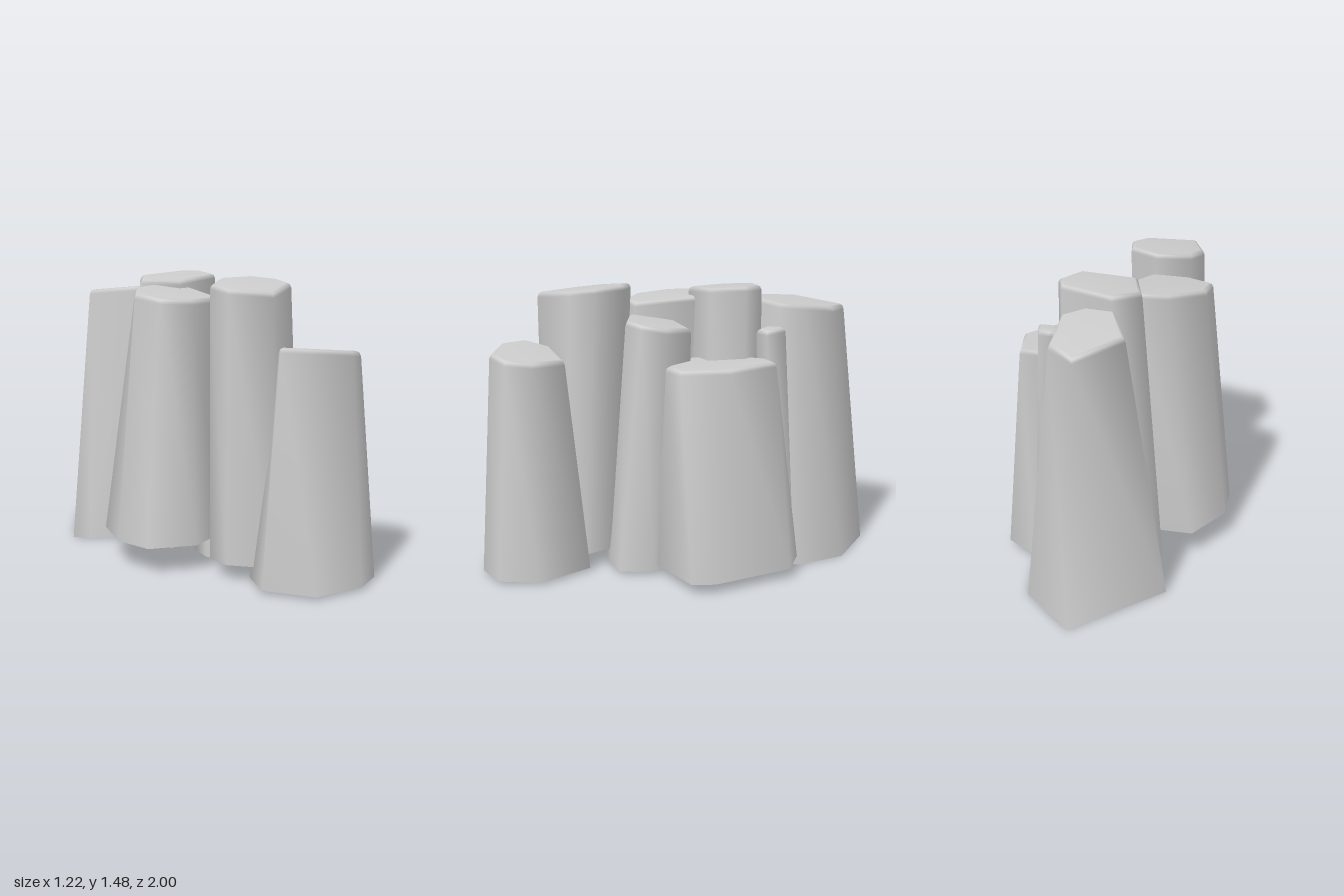
import * as THREE from 'three';

const stone = new THREE.MeshStandardMaterial({ color: 0xcccccc, side: THREE.DoubleSide });

// Bevel of the cap rim, from the shoulder inwards: inset and drop below the cap plane
const bevel = [[0, 0.026], [0.008, 0.008], [0.025, 0]];

// Open-footed prism with a bevelled, sloping cap.
// outline: cap corners [x, z], clockwise from above, with an optional extra flare of that corner's foot
// cap: height plane y = h + sx * x + sz * z
// base: foot height; shift and spread turn the cap outline into the foot outline
function column(name, outline, [h, sx, sz], { y, shift, spread }) {
  const n = outline.length;
  const box = new THREE.Box2().setFromPoints(outline.map(([x, z]) => new THREE.Vector2(x, z)));
  const c = box.getCenter(new THREE.Vector2());
  const capY = (x, z) => h + sx * x + sz * z;
  const positions = [];
  const index = [];

  // Foot ring
  for (const [x, z, flareX = 0, flareZ = 0] of outline) {
    positions.push(
      c.x + shift[0] + (x - c.x) * spread[0] + flareX, y,
      c.y + shift[1] + (z - c.y) * spread[1] + flareZ);
  }
  // Rim rings
  for (const [inset, drop] of bevel) {
    for (const [x, z] of outline) {
      const k = 1 - inset / Math.hypot(x - c.x, z - c.y);
      const px = c.x + (x - c.x) * k;
      const pz = c.y + (z - c.y) * k;
      positions.push(px, capY(px, pz) - drop, pz);
    }
  }
  positions.push(c.x, capY(c.x, c.y), c.y);

  // Walls and cap fan
  const last = bevel.length * n;
  for (let i = 0; i < n; i++) {
    const j = (i + 1) % n;
    for (let r = 0; r < last; r += n) {
      index.push(r + i, r + n + i, r + n + j, r + i, r + n + j, r + j);
    }
    index.push(last + n, last + j, last + i);
  }

  const geometry = new THREE.BufferGeometry();
  geometry.setAttribute('position', new THREE.Float32BufferAttribute(positions, 3));
  geometry.setIndex(index);
  geometry.computeVertexNormals();
  const mesh = new THREE.Mesh(geometry, stone);
  mesh.name = name;
  return mesh;
}

export function createModel() {
  const group = new THREE.Group();
  group.name = 'rockColumns';
  group.add(
    column('backColumn',
      [[-0.38, -0.86, 0.04], [-0.19, -0.81, 0.08, 0.02], [-0.1, -0.66, 0.1], [-0.03, -0.54],
        [-0.09, -0.43, -0.08, 0.06], [-0.24, -0.39, -0.28, -0.12], [-0.46, -0.58, 0, 0.12]],
      [1.46, 0, 0.14], { y: 0, shift: [-0.015, -0.01], spread: [1.64, 1.55] }),
    column('tallCentreColumn',
      [[-0.22, -0.39], [0.05, -0.45], [0.13, -0.38], [0.145, -0.2], [-0.11, -0.05], [-0.27, -0.22]],
      [1.455, 0.06, -0.06], { y: 0.015, shift: [-0.05, 0.02], spread: [1.36, 1.15] }),
    column('tallFrontColumn',
      [[0, 0.24], [0.17, 0.24], [0.27, 0.37], [0.28, 0.5], [0.09, 0.72], [-0.08, 0.56], [-0.11, 0.4]],
      [1.505, 0.04, -0.11], { y: 0.08, shift: [0.02, 0.03], spread: [1.17, 0.83] }),
    column('leftFlankColumn',
      [[-0.34, -0.1, -0.075, -0.03], [-0.2, -0.2, -0.08], [-0.03, -0.1], [0.01, 0.22, 0, -0.05],
        [-0.17, 0.31, 0.05], [-0.33, 0.29], [-0.41, 0.12]],
      [1.4, -0.03, -0.1], { y: 0.14, shift: [-0.065, 0.05], spread: [1.26, 1.14] }),
    column('innerColumn',
      [[-0.04, 0.01], [0.13, -0.1], [0.28, 0], [0.29, 0.13], [0.24, 0.22, -0.04, -0.04],
        [0.01, 0.25, 0.04], [-0.03, 0.11]],
      [1.28, 0, 0.15], { y: 0.015, shift: [0.025, 0.085], spread: [1.35, 1.33] }),
    column('broadSideColumn',
      [[0.14, -0.5, -0.09, -0.06], [0.25, -0.55, -0.04, 0.025], [0.42, -0.34, 0.01, 0.11],
        [0.41, -0.09, 0.05, -0.09], [0.28, 0.01, -0.02], [0.03, -0.04], [0, -0.28]],
      [1.09, 0, -0.07], { y: 0.05, shift: [0.06, -0.045], spread: [1.33, 1.27] }),
    column('slimColumn',
      [[-0.02, -0.48], [0.04, -0.56], [0.09, -0.58], [0.17, -0.49], [0.08, -0.43]],
      [1.22, 0, -0.1], { y: 0.015, shift: [0, -0.055], spread: [0.58, 1.2] }),
    column('frontColumn',
      [[0.15, 0.64, -0.06], [0.39, 0.5, -0.07], [0.52, 0.63], [0.53, 0.77], [0.43, 0.88, 0, -0.04],
        [0.2, 0.89, 0.05], [0.09, 0.8, 0, -0.04]],
      [1.115, -0.08, 0.09], { y: 0.015, shift: [-0.005, 0.003], spread: [1.39, 1.53] }),
  );
  return group;
}
